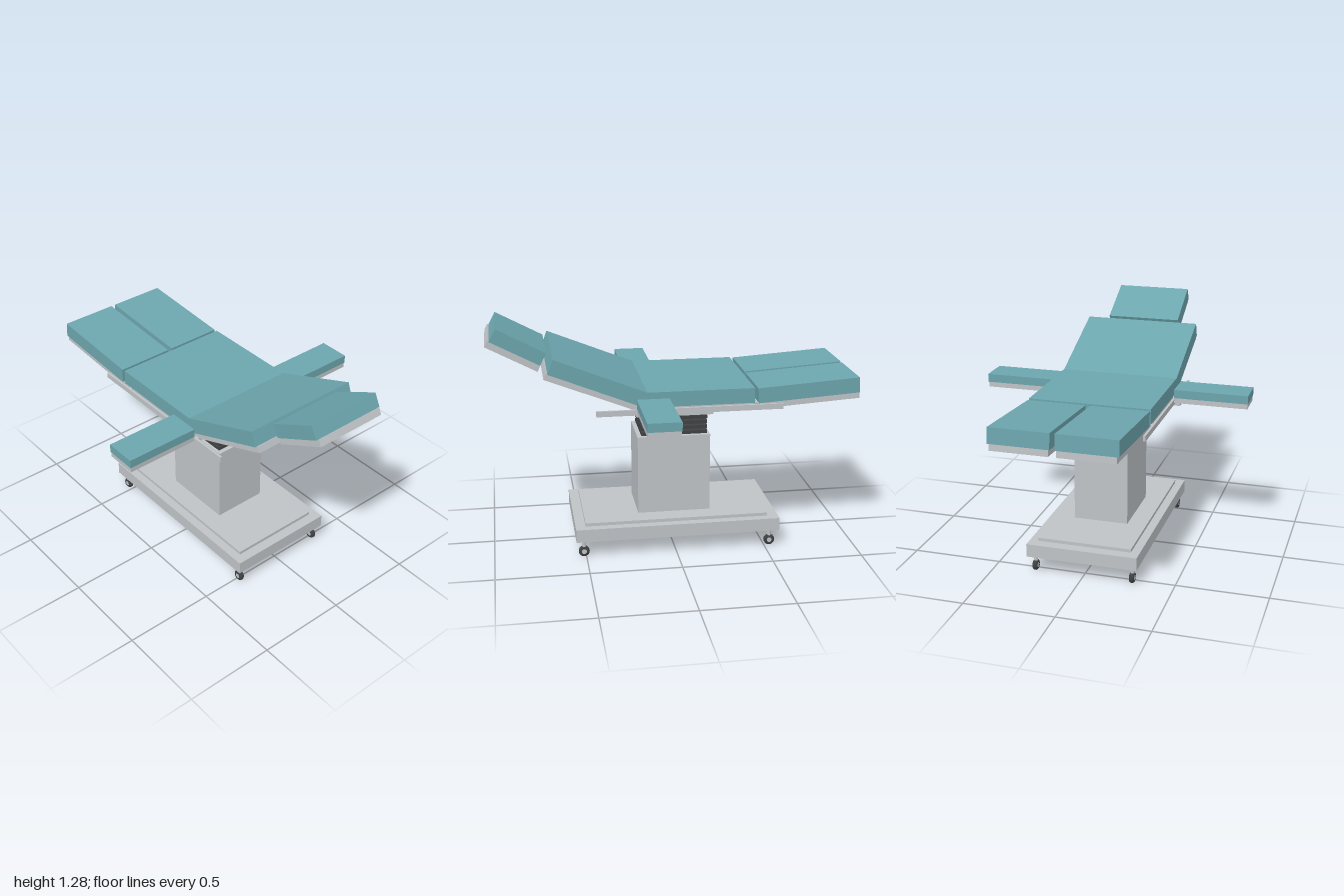
import * as THREE from 'three';

const mat = (name, color) => {
  const m = new THREE.MeshStandardMaterial({ color });
  m.name = name;
  return m;
};

export function createModel() {
  const metal = mat('light grey metal', 0xbfc3c6);
  const teal = mat('teal upholstery', 0x6ca5ad);
  const rubber = mat('dark rubber', 0x3f4143);

  const model = new THREE.Group();
  model.name = 'operatingTable';

  const add = (name, geometry, material, parent = model) => {
    const mesh = new THREE.Mesh(geometry, material);
    mesh.name = name;
    parent.add(mesh);
    return mesh;
  };
  // Box given by its limits on each axis
  const block = (name, x0, x1, y0, y1, z0, z1, material, parent) => {
    const g = new THREE.BoxGeometry(x1 - x0, y1 - y0, Math.abs(z1 - z0));
    g.translate((x0 + x1) / 2, (y0 + y1) / 2, (z0 + z1) / 2);
    return add(name, g, material, parent);
  };
  // Side profile (x, y) swept from z0 to z1
  const sweep = (name, points, z0, z1, material) => {
    const shape = new THREE.Shape(points.map(([x, y]) => new THREE.Vector2(x, y)));
    const g = new THREE.ExtrudeGeometry(shape, { depth: z1 - z0, bevelEnabled: false });
    g.translate(0, 0, z0);
    return add(name, g, material);
  };

  // Base and lifting column
  block('base', -0.58, 0.555, 0.095, 0.168, -0.307, 0.307, metal);
  block('baseCover', -0.52, 0.5, 0.168, 0.186, -0.26, 0.26, metal);
  block('column', -0.21, 0.195, 0.186, 0.63, -0.153, 0.153, metal);
  block('liftPiston', -0.04, 0.015, 0.63, 0.75, -0.03, 0.03, rubber);
  for (let i = 0; i < 4; i++) {
    const y = 0.633 + i * 0.0287;
    block('bellowsFold', -0.195, 0.172, y, y + 0.019, -0.137, 0.137, rubber);
  }
  block('columnHead', -0.224, 0.202, 0.75, 0.815, -0.166, 0.166, metal);

  // Seat and back section: bent plate and bent pad
  sweep('seatBackPlate', [
    [-0.428, 0.815], [0.162, 0.815], [0.703, 1.028], [0.69, 1.061], [0.18, 0.856], [-0.428, 0.856],
  ], -0.322, 0.322, metal);
  sweep('seatBackPad', [
    [-0.415, 0.856], [0.181, 0.856], [0.682, 1.057], [0.652, 1.135], [0.163, 0.938], [-0.415, 0.938],
  ], -0.332, 0.332, teal);

  // Head section
  sweep('headPlate', [
    [0.727, 1.04], [0.998, 1.183], [0.981, 1.216], [0.711, 1.074],
  ], -0.203, 0.203, metal);
  sweep('headPad', [
    [0.713, 1.075], [0.973, 1.212], [0.938, 1.279], [0.68, 1.142],
  ], -0.213, 0.213, teal);

  for (const s of [1, -1]) {
    // Leg sections
    const span = (a, b) => (s > 0 ? [a, b] : [-b, -a]);
    sweep('legPlate', [
      [-1, 0.854], [-0.432, 0.818], [-0.432, 0.852], [-0.998, 0.888],
    ], ...span(0.02, 0.322), metal);
    sweep('legPad', [
      [-0.998, 0.888], [-0.439, 0.852], [-0.434, 0.935], [-0.992, 0.972],
    ], ...span(0.013, 0.332), teal);

    // Side rail with its brackets
    block('sideRail', -0.57, 0.435, 0.82, 0.85, s * 0.334, s * 0.347, metal);
    for (const x of [-0.37, 0.22])
      block('railBracket', x - 0.012, x + 0.012, 0.826, 0.844, s * 0.3, s * 0.336, metal);

    // Arm board and its clamp
    block('armClamp', 0.08, 0.135, 0.805, 0.83, s * 0.32, s * 0.373, metal);
    block('armClampPost', 0.09, 0.125, 0.815, 0.858, s * 0.33, s * 0.352, metal);
    block('armPlate', 0.05, 0.22, 0.83, 0.859, s * 0.345, s * 0.754, metal);
    block('armPad', 0.047, 0.222, 0.859, 0.906, s * 0.345, s * 0.757, teal);
  }

  // Casters
  const tyreProfile = [[0.014, -0.013], [0.024, -0.013], [0.03, -0.006], [0.03, 0.006], [0.024, 0.013], [0.014, 0.013]];
  const tyre = new THREE.LatheGeometry(tyreProfile.map(([r, y]) => new THREE.Vector2(r, y)), 24);
  const hub = new THREE.CylinderGeometry(0.0145, 0.0145, 0.024, 20);
  tyre.rotateX(Math.PI / 2);
  hub.rotateX(Math.PI / 2);
  for (const x of [-0.53, 0.512]) {
    for (const z of [-0.272, 0.272]) {
      const caster = new THREE.Group();
      caster.name = 'caster';
      caster.position.set(x, 0.03, z);
      add('tyre', tyre, rubber, caster);
      add('hub', hub, metal, caster);
      const stem = new THREE.CylinderGeometry(0.011, 0.011, 0.045, 16);
      add('casterStem', stem, metal, caster).position.y = 0.045;
      model.add(caster);
    }
  }

  return model;
}
